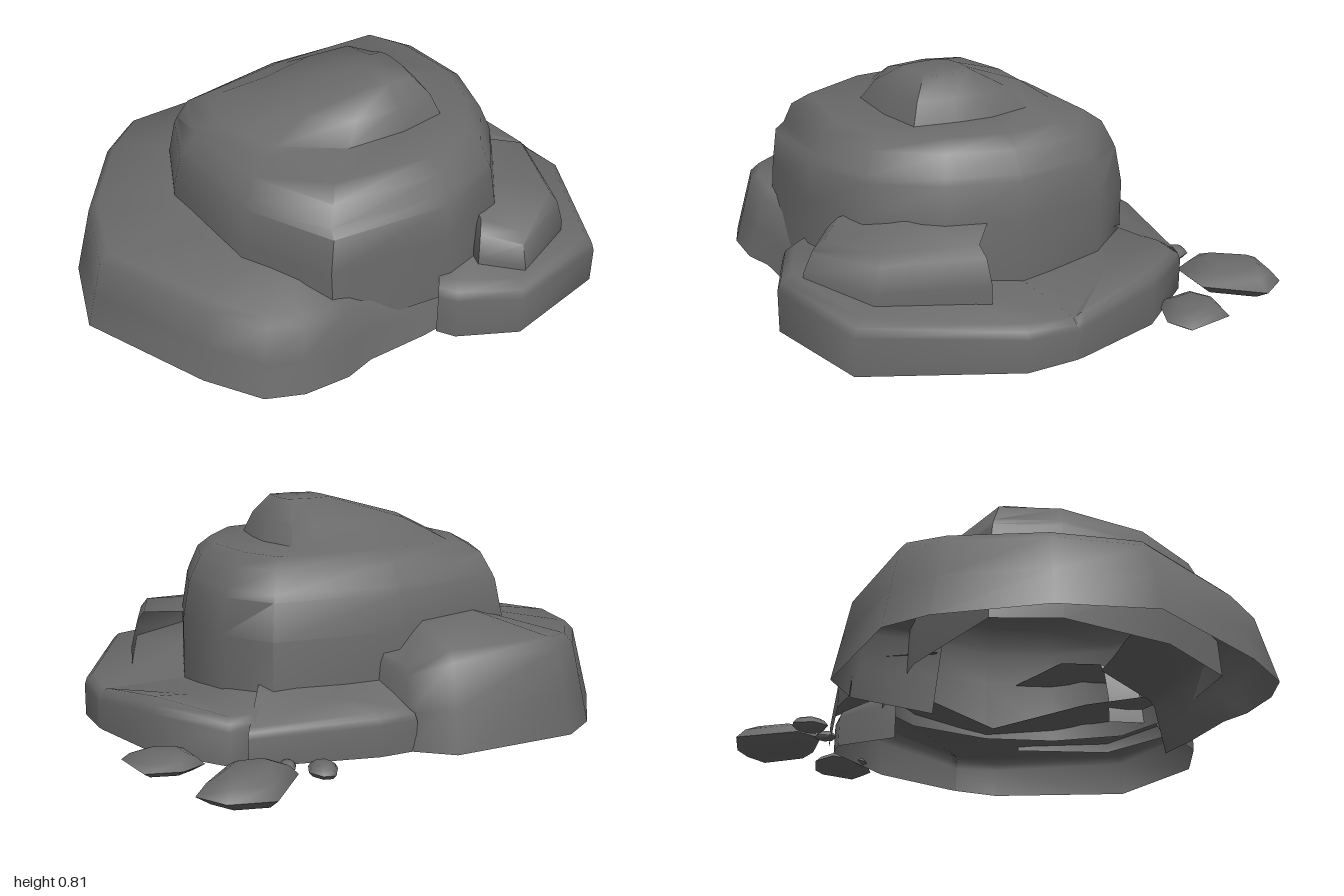
import * as THREE from 'three';
import { toCreasedNormals } from 'three/addons/utils/BufferGeometryUtils.js';

const stone = new THREE.MeshStandardMaterial({ color: 0x6a6a6a, side: THREE.DoubleSide });
stone.name = 'grey stone';

// Skin a stack of equal-length rings of [x, y, z]; the last `skip` sides stay open
function loft(name, rings, { top = true, bottom = false, crease = 0.8, skip = 0 } = {}) {
  const n = rings[0].length;
  const pos = rings.flat(2);
  const index = [];
  for (let j = 0; j < rings.length - 1; j++) {
    for (let i = 0; i < n - skip; i++) {
      const a = j * n + i, b = j * n + (i + 1) % n;
      index.push(a, a + n, b, b, a + n, b + n);
    }
  }
  const cap = (j, flip) => {
    const c = pos.length / 3;
    for (let k = 0; k < 3; k++) pos.push(rings[j].reduce((s, p) => s + p[k], 0) / n);
    for (let i = 0; i < n; i++) {
      const a = j * n + i, b = j * n + (i + 1) % n;
      index.push(...(flip ? [a, b, c] : [b, a, c]));
    }
  };
  if (top) cap(rings.length - 1, false);
  if (bottom) cap(0, true);
  const geo = new THREE.BufferGeometry();
  geo.setAttribute('position', new THREE.Float32BufferAttribute(pos, 3));
  geo.setIndex(index);
  const mesh = new THREE.Mesh(toCreasedNormals(geo, crease), stone);
  mesh.name = name;
  return mesh;
}

// Rock from a plan outline of [x, z, top height], running from +x towards +z,
// and levels of [plan scale, height share]
function rock(name, outline, levels, y0, options = {}) {
  const [cx, cz] = options.centre
    ?? [0, 1].map(k => outline.reduce((s, p) => s + p[k], 0) / outline.length);
  const rings = levels.map(([s, f]) => outline.map(([x, z, h]) =>
    [cx + (x - cx) * s, y0 + (h - y0) * f, cz + (z - cz) * s]));
  return loft(name, rings, options);
}

export function createModel() {
  const group = new THREE.Group();
  group.name = 'rockCluster';

  // Main dome: wall, shelf rim, foot of the peak and its crown, in one skin
  const wall = [[.62, .12], [.53, .38], [.36, .6], [.1, .68], [-.36, .63], [-.53, .32],
    [-.57, -.1], [-.47, -.33], [0, -.42], [.48, -.38], [.6, -.2]];
  const shelf = [[.49, .12], [.43, .32], [.29, .5], [.08, .56], [-.27, .51], [-.4, .25],
    [-.42, -.03], [-.36, -.22], [0, -.27], [.4, -.26], [.47, -.12]];
  const foot = [[.32, .07], [.31, .2], [.28, .36], [.1, .385], [-.12, .37], [-.33, .22],
    [-.37, 0], [-.31, -.19], [0, -.25], [.22, -.23], [.28, -.1]];
  const crown = [[.215, .12], [.215, .2], [.2, .28], [.1, .29], [.03, .27], [.02, .2],
    [.02, .14], [.04, .1], [.1, .085], [.16, .085], [.205, .09]];
  const blend = (from, to, t, y, ledge = 0) => from.map(([x, z], i) => {
    const out = z > .55 && x < .2 ? ledge : 0;
    return [x + (to[i][0] - x) * t, y, z + (to[i][1] - z) * t + out];
  });
  group.add(loft('dome', [
    wall.map(([x, z]) => [x, .16, z * (z > 0 ? 1.03 : 1)]),
    blend(wall, shelf, 0, .4),
    blend(wall, shelf, .18, .53, .01),
    blend(wall, shelf, .26, .555, -.01),
    blend(wall, shelf, .55, .63),
    blend(wall, shelf, 1, .67),
    blend(foot, crown, 0, .673),
    blend(foot, crown, .36, .75),
    blend(foot, crown, 1, .82),
  ], { crease: .9 }));

  // Broad boulder wrapping the left, back and front foot of the dome
  group.add(rock('sideBoulder', [
    [.15, .7, .25], [-.02, .715, .27], [-.25, .715, .3], [-.36, .745, .32], [-.53, .735, .34],
    [-.66, .68, .34], [-.79, .49, .34], [-1, .02, .345], [-.9, -.3, .36], [-.67, -.61, .39],
    [-.52, -.715, .41], [-.04, -.735, .41], [.09, -.62, .34], [.12, -.3, .38],
  ], [[1, 0], [.96, .4], [.92, .8], [.88, .9], [.48, 1.06]], .03,
  { centre: [-.15, 0], top: false, crease: 1.1, skip: 1 }));

  // Low slabs around the other half, meeting in a shallow notch
  const slab = [[1, 0], [1, .72], [.985, .88], [.94, 1]];
  group.add(rock('frontSlab', [
    [.95, .125, .17], [.945, .31, .19], [.69, .8, .22], [.28, .885, .24], [.07, .78, .25],
    [.03, .72, .25], [.3, .45, .25], [.55, .125, .18],
  ], slab, .03, { centre: [.45, .125], skip: 3, crease: 1 }));
  group.add(rock('rightSlab', [
    [.42, -.34, .24], [.6, -.51, .19], [.69, -.5, .19], [.87, -.24, .22], [.945, .09, .18],
    [.95, .125, .17], [.55, .125, .18],
  ], slab, .03, { centre: [.5, .125], skip: 2, crease: 1 }));
  group.add(rock('backSlab', [
    [.06, -.63, .18], [.2, -.635, .18], [.64, -.535, .16], [.5, -.3, .26], [.06, -.3, .26],
  ], slab, .03, { centre: [.45, -.3], skip: 3, crease: 1 }));

  // Block resting on the front slab, its back sunk into the dome
  group.add(rock('ledgeBlock', [
    [.755, .33, .39], [.62, .69, .38], [.34, .815, .36], [.22, .7, .39], [.28, .52, .44],
    [.4, .36, .46], [.6, .2, .4],
  ], [[1, 0], [1, .4], [.92, .82], [.82, 1]], .18, { centre: [.44, .42], skip: 3, crease: 1 }));

  // Loose pebbles
  const pebbleLevels = [[.72, 0], [1, .36], [.8, .75], [.5, 1]];
  const pebbles = [
    [.005, .1, [[.53, -.69], [.69, -.89], [.84, -.85], [.9, -.74], [.74, -.57], [.57, -.59]]],
    [.025, .085, [[.77, -.48], [.86, -.525], [.98, -.49], [1, -.31], [.91, -.275], [.78, -.34]]],
    [.015, .06, [[.38, -.67], [.42, -.74], [.46, -.73], [.485, -.67], [.46, -.61], [.4, -.61]]],
    [.02, .05, [[.49, -.58], [.51, -.62], [.545, -.62], [.555, -.58], [.53, -.545], [.5, -.55]]],
  ];
  pebbles.forEach(([y0, y1, plan], i) => group.add(rock(`pebble${i + 1}`,
    plan.map(([x, z]) => [x, z, y1]), pebbleLevels, y0, { bottom: true, crease: 1.1 })));

  return group;
}
